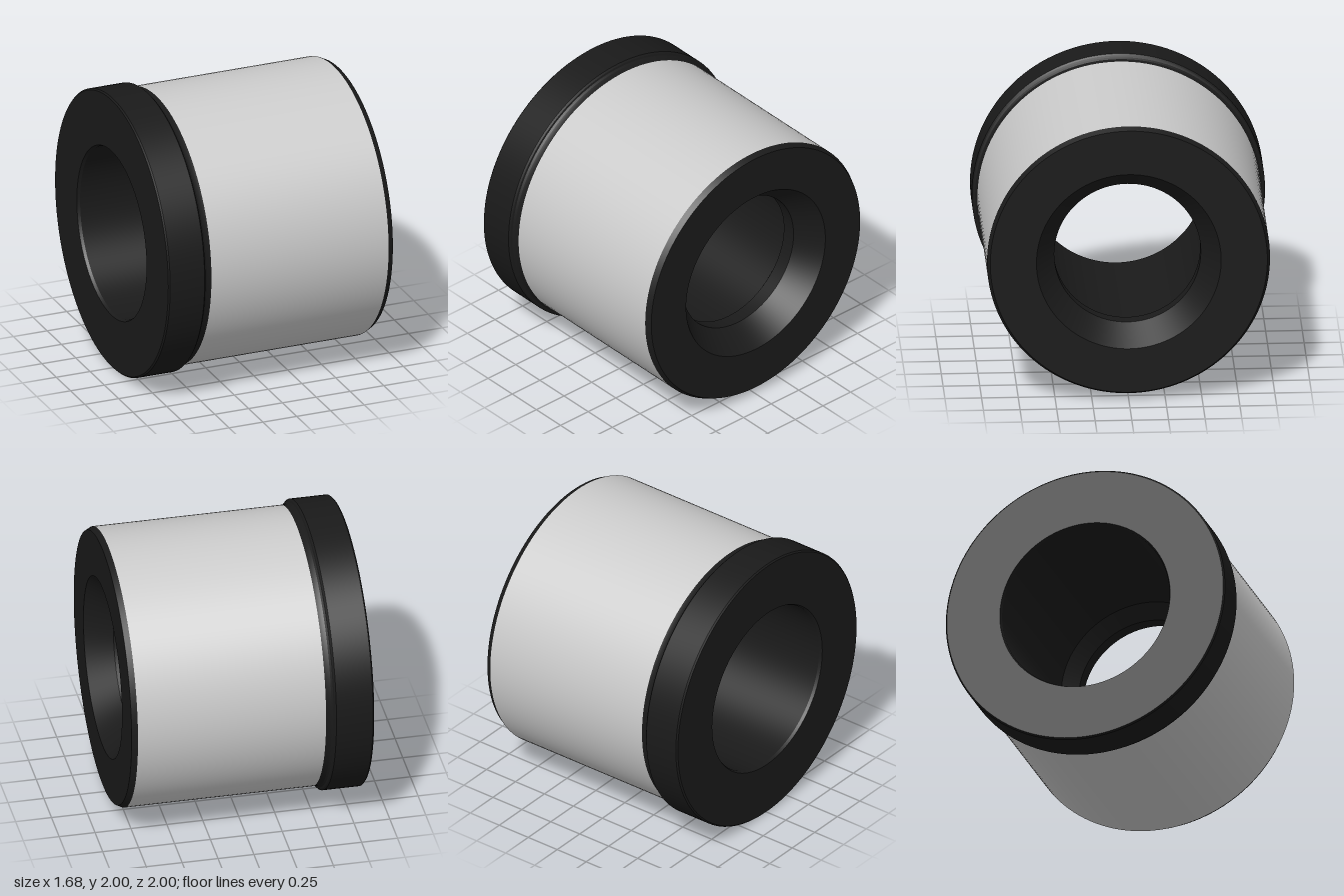
import * as THREE from 'three';
import { toCreasedNormals } from 'three/addons/utils/BufferGeometryUtils.js';

const SEGMENTS = 128;

// Turns a profile of [radius, x] points about the x axis, keeping edges sharp.
function turned(name, profile, color) {
  const points = profile.map(([r, x]) => new THREE.Vector2(r, x));
  const geometry = toCreasedNormals(new THREE.LatheGeometry(points, SEGMENTS), 0.3);
  geometry.rotateZ(-Math.PI / 2);
  const mesh = new THREE.Mesh(geometry, new THREE.MeshStandardMaterial({ color }));
  mesh.name = name;
  return mesh;
}

export function createModel() {
  const group = new THREE.Group();
  group.name = 'flangedBushing';

  // Dark core: right end face, countersunk bore with a narrow lip, then the flange
  const core = turned('core', [
    [0.965, 0.80], [0.945, 0.84],                 // end chamfer
    [0.63, 0.84], [0.5, 0.66],                    // countersink
    [0.5, 0.56], [0.6, 0.48],                     // lip
    [0.6, -0.82], [0.61, -0.84],                  // main bore
    [0.99, -0.84], [1, -0.83],                    // flange face
    [1, -0.575], [0.99, -0.565],                  // flange rim
    [0.978, -0.56], [0.969, -0.548], [0.965, -0.53], [0.965, -0.51], // fillet to the sleeve
  ], 0x1a1a1a);

  // Plain outer sleeve
  const sleeve = turned('sleeve', [[0.965, -0.51], [0.965, 0.80]], 0xcccccc);

  group.add(core, sleeve);
  group.position.y = 1;

  const model = new THREE.Group();
  model.add(group);
  return model;
}
